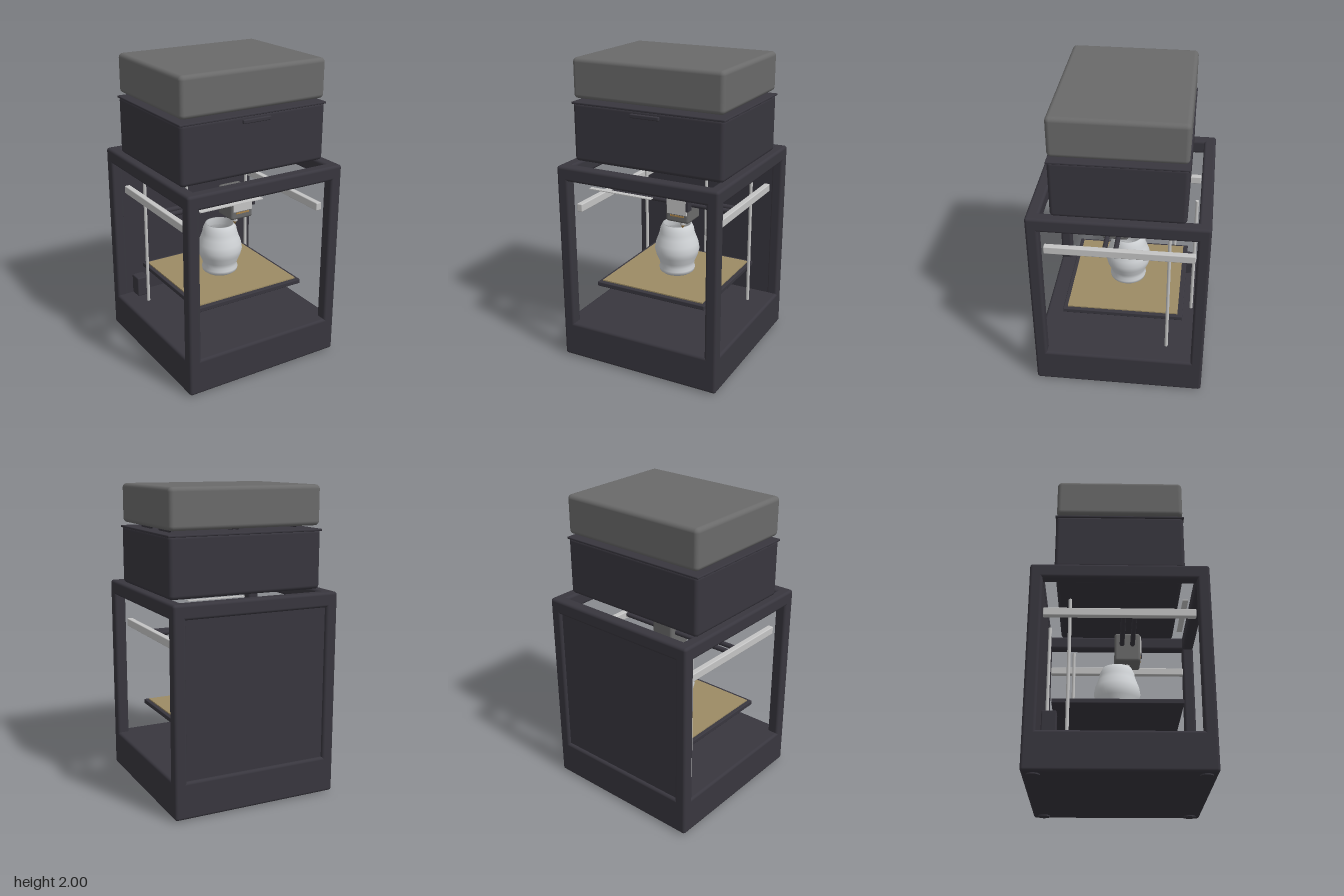
import * as THREE from 'three';
import { RoundedBoxGeometry } from 'three/addons/geometries/RoundedBoxGeometry.js';

export function createModel() {
  const root = new THREE.Group();
  root.name = 'printer';
  const mat = (name, color) => {
    const m = new THREE.MeshStandardMaterial({ color });
    m.name = name;
    return m;
  };
  const charcoal = mat('charcoal', 0x38363e);
  const grey = mat('lidGrey', 0x6a6a6a);
  const metal = mat('lightMetal', 0xc4c4c4);
  const clay = mat('printedWhite', 0xd0d3d6);
  clay.side = THREE.DoubleSide;
  const tan = mat('bedTan', 0x9c8b64);
  const brass = mat('brass', 0xa8834a);

  const add = (name, geo, m, x = 0, y = 0, z = 0) => {
    const mesh = new THREE.Mesh(geo, m);
    mesh.name = name;
    mesh.position.set(x, y, z);
    root.add(mesh);
    return mesh;
  };
  // box given by its limits on each axis; r rounds the edges
  const box = (name, m, [x0, x1], [y0, y1], [z0, z1], r = 0) => {
    const s = [x1 - x0, y1 - y0, z1 - z0];
    const geo = r ? new RoundedBoxGeometry(...s, 3, r) : new THREE.BoxGeometry(...s);
    return add(name, geo, m, (x0 + x1) / 2, (y0 + y1) / 2, (z0 + z1) / 2);
  };
  const rod = (name, m, r, len, x, y, z, alongX = false) => {
    const mesh = add(name, new THREE.CylinderGeometry(r, r, len, 20), m, x, y, z);
    if (alongX) mesh.rotation.z = Math.PI / 2;
    return mesh;
  };

  // Cabinet: base, corner posts and an open top ring
  const W = 0.56, I = 0.48, R = 0.018;
  box('base', charcoal, [-W, W], [0.008, 0.25], [-W, W], R);
  for (const s of [-1, 1]) {
    const side = s < 0 ? [-W, -I] : [I, W];
    box('topSideBeam', charcoal, side, [1.245, 1.34], [-W, W], R);
    box('topCrossBeam', charcoal, [-W, W], [1.245, 1.34], side, R);
    for (const t of [-1, 1]) {
      box('cornerPost', charcoal, side, [0.008, 1.34], t < 0 ? [-W, -I] : [I, W], R);
      rod('foot', charcoal, 0.04, 0.02, s * 0.49, 0.01, t * 0.49);
    }
  }
  box('backPanel', charcoal, [-0.49, 0.49], [0.24, 1.26], [-0.54, -0.482]);

  // Vertical rods and the lift motor
  for (const x of [-0.405, 0.405]) rod('liftRod', metal, 0.011, 0.92, x, 0.71, -0.31);
  rod('leadScrew', metal, 0.011, 0.92, 0, 0.71, -0.46);
  box('liftMotor', charcoal, [-0.455, -0.37], [0.265, 0.405], [-0.46, -0.37], 0.008);

  // Gantry
  for (const s of [-1, 1])
    box('sideRail', metal, [s * 0.457 - 0.02, s * 0.457 + 0.02], [1.022, 1.075], [-0.475, 0.475], 0.006);
  for (const z of [0.025, 0.095]) rod('crossRod', charcoal, 0.016, 0.88, 0, 1.052, z, true);
  box('frontStrip', metal, [-0.405, 0.045], [1.171, 1.177], [0.4, 0.435]);

  // Print head
  box('headBody', grey, [-0.005, 0.162], [0.93, 1.135], [-0.025, 0.148], 0.018);
  box('headPlate', metal, [0.008, 0.15], [0.99, 1.115], [0.146, 0.155]);
  box('headTrim', brass, [0.03, 0.13], [0.972, 0.982], [0.144, 0.152]);
  box('headClip', charcoal, [0.15, 0.168], [1.02, 1.11], [0.11, 0.165], 0.004);
  rod('heatBlock', metal, 0.018, 0.045, 0.077, 0.91, 0.06);
  add('nozzle', new THREE.CylinderGeometry(0.016, 0.004, 0.022, 16), brass, 0.077, 0.877, 0.06);

  // Bed and printed vase
  box('bed', charcoal, [-0.395, 0.395], [0.475, 0.505], [-0.408, 0.388], 0.005);
  box('bedSheet', tan, [-0.37, 0.37], [0.504, 0.513], [-0.375, 0.36]);
  const profile = [[0.001, 0.515], [0.1, 0.515], [0.119, 0.53], [0.123, 0.55], [0.115, 0.57],
    [0.122, 0.6], [0.142, 0.645], [0.152, 0.685], [0.145, 0.73], [0.128, 0.775],
    [0.118, 0.805], [0.114, 0.83], [0.098, 0.865], [0.09, 0.865], [0.1, 0.81]];
  add('vase', new THREE.LatheGeometry(profile.map(p => new THREE.Vector2(...p)), 48), clay, 0, 0, -0.008);

  // Filament box on top, with rim and latch
  box('filamentBox', charcoal, [-0.52, 0.52], [1.34, 1.722], [-0.412, 0.412], 0.025);
  box('boxRim', charcoal, [-0.526, 0.526], [1.71, 1.724], [-0.416, 0.416], 0.005);
  box('latch', charcoal, [-0.1, 0.1], [1.67, 1.695], [0.4, 0.428], 0.006);

  // Spools under the lid
  for (const x of [-0.23, 0.23]) for (const z of [-0.15, 0.15]) {
    rod('spoolDrum', charcoal, 0.08, 0.42, x, 1.84, z, true);
    for (const d of [-0.21, 0.21]) rod('spoolFlange', charcoal, 0.14, 0.012, x + d, 1.84, z, true);
  }
  box('lid', grey, [-0.515, 0.515], [1.745, 2.0], [-0.41, 0.41], 0.028);
  return root;
}
